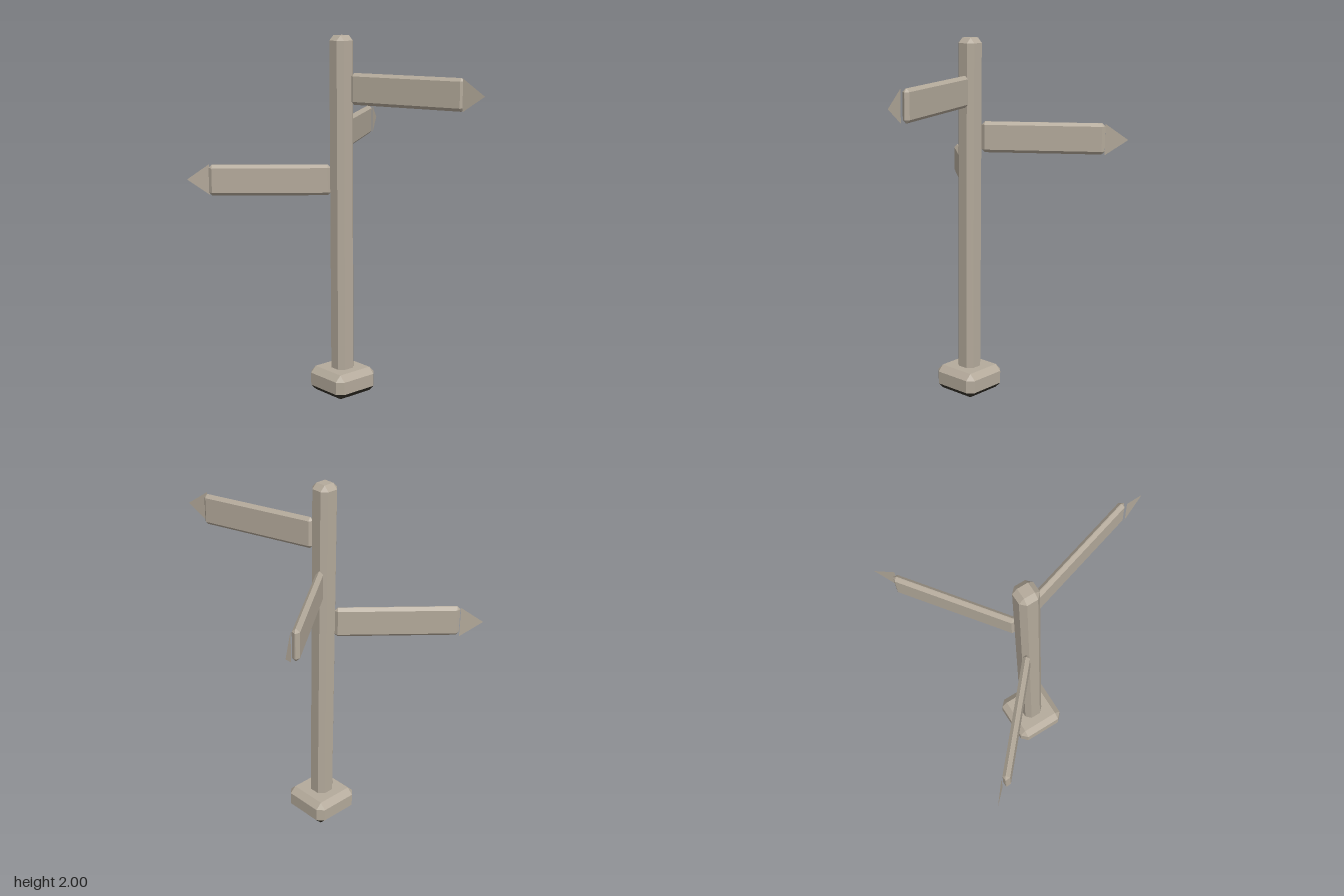
import * as THREE from 'three';
import { ConvexGeometry } from 'three/addons/geometries/ConvexGeometry.js';

// Box with single-segment bevels; group 0 is the body, group 1 the underside and its bevels
function chamferBox(w, h, d, b) {
  const half = [w / 2, h / 2, d / 2];
  const pts = [];
  for (const sx of [-1, 1]) for (const sy of [-1, 1]) for (const sz of [-1, 1]) {
    for (let axis = 0; axis < 3; axis++) {
      const p = half.map((v, i) => (i === axis ? v : v - b));
      pts.push(new THREE.Vector3(p[0] * sx, p[1] * sy, p[2] * sz));
    }
  }
  const geometry = new ConvexGeometry(pts);
  const pos = geometry.attributes.position;
  for (let i = 0; i < pos.count; i += 3) {
    const top = Math.max(pos.getY(i), pos.getY(i + 1), pos.getY(i + 2));
    geometry.addGroup(i, 3, top < b - h / 2 + 1e-4 ? 1 : 0);
  }
  return geometry;
}

function makeMaterial(name, color) {
  const material = new THREE.MeshStandardMaterial({ color, flatShading: true, side: THREE.DoubleSide });
  material.name = name;
  return material;
}

export function createModel() {
  const model = new THREE.Group();
  model.name = 'signpost';
  const weathered = makeMaterial('weatheredWood', 0xb4aa9b);
  const dark = makeMaterial('darkUnderside', 0x37332b);

  const postX = -0.126, postZ = 0.036;
  const add = (parent, name, geometry, material, x, y, z) => {
    const mesh = new THREE.Mesh(geometry, material);
    mesh.name = name;
    mesh.position.set(x, y, z);
    parent.add(mesh);
  };

  // Foot block with a dark underside, and post
  add(model, 'base', chamferBox(0.284, 0.14, 0.284, 0.034), [weathered, dark], postX, 0.07, postZ);
  add(model, 'post', chamferBox(0.115, 1.93, 0.115, 0.028), weathered, postX, 1.035, postZ);

  // Boards, each with a flat arrow tip set to one side of the board's middle
  const height = 0.17, thickness = 0.039;
  const signs = [
    { name: 'upperSign', y: 1.717, from: [-0.069, 0.012], to: [0.574, -0.182] },
    { name: 'middleSign', y: 1.466, from: [-0.158, -0.022], to: [-0.556, -0.557] },
    { name: 'lowerSign', y: 1.217, from: [-0.163, 0.082], to: [-0.602, 0.585] },
  ];
  for (const { name, y, from, to } of signs) {
    const dx = to[0] - from[0], dz = to[1] - from[1];
    const length = Math.hypot(dx, dz);
    const sign = new THREE.Group();
    sign.name = name;
    sign.position.set(from[0], y, from[1]);
    sign.rotation.y = -Math.atan2(dz, dx);
    add(sign, 'board', chamferBox(length, height, thickness, 0.017), weathered, length / 2, 0, 0);

    const tip = new THREE.Shape();
    tip.moveTo(0, -height / 2);
    tip.lineTo(0.123, 0);
    tip.lineTo(0, height / 2);
    add(sign, 'arrowTip', new THREE.ShapeGeometry(tip), weathered, length, 0, 0.021);
    model.add(sign);
  }
  return model;
}
